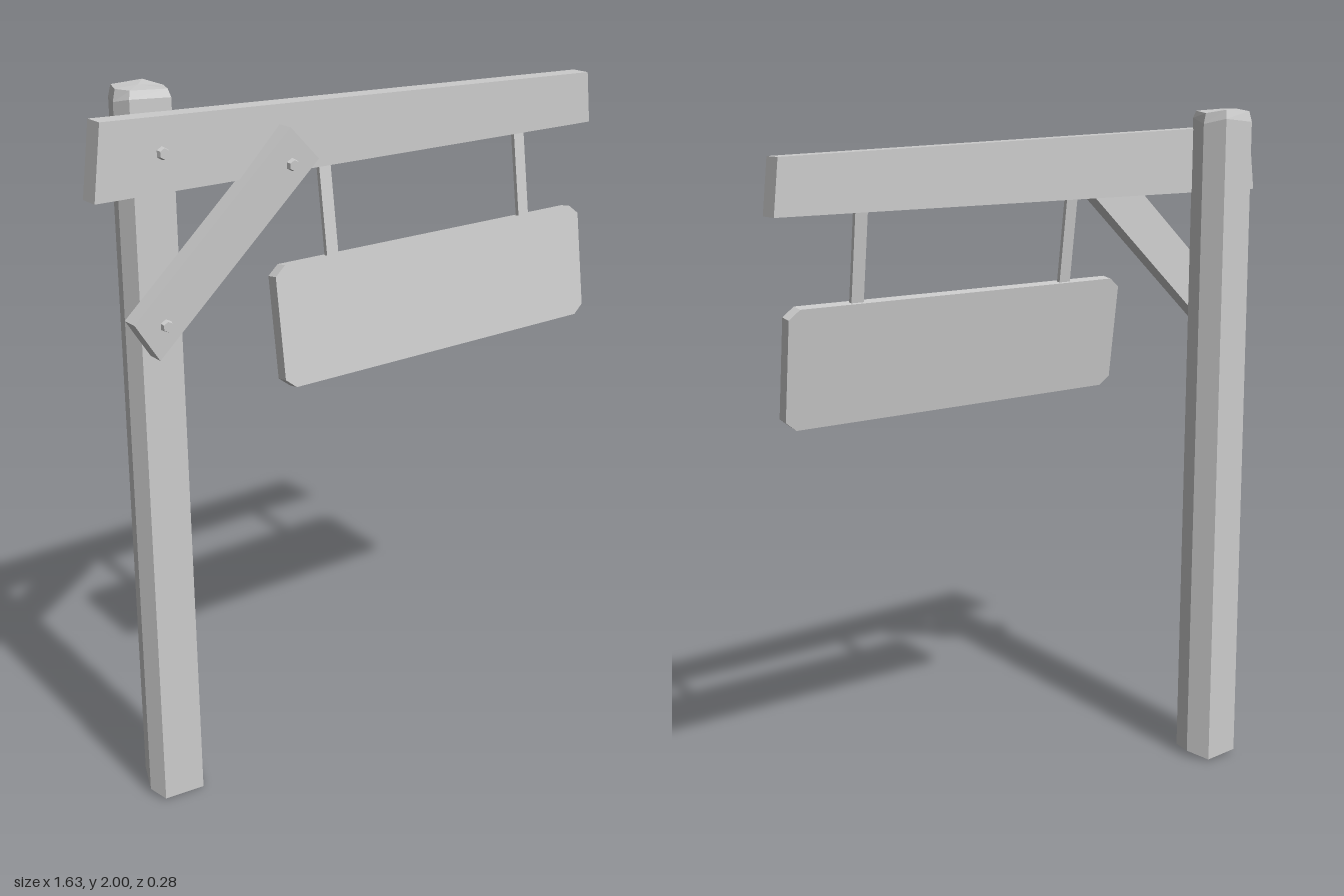
import * as THREE from 'three';

const material = new THREE.MeshStandardMaterial({ color: 0xcccccc, flatShading: true });

function addMesh(parent, name, geometry) {
  const mesh = new THREE.Mesh(geometry, material);
  mesh.name = name;
  parent.add(mesh);
  return mesh;
}

// Flat board cut from an outline in x and y
function board(points, depth) {
  const shape = new THREE.Shape(points.map(([x, y]) => new THREE.Vector2(x, y)));
  return new THREE.ExtrudeGeometry(shape, { depth, bevelEnabled: false });
}

// Rough-hewn post lofted through rings of six corners, closed by fans
function postGeometry() {
  const section = [[-0.52, -0.07], [-0.552, -0.136], [-0.655, -0.142],
    [-0.70, -0.035], [-0.68, 0.015], [-0.56, 0.022]];
  const cx = -0.61, cz = -0.06;
  const ring = (scale, heights) => section.map(([x, z], i) =>
    [cx + (x - cx) * scale, heights[i], cz + (z - cz) * scale]);
  const rings = [
    ring(1, [0.02, 0.005, 0.015, 0.018, 0.005, 0]),
    ring(0.93, [1.96, 1.975, 1.965, 1.97, 1.98, 1.975]),
    ring(0.84, [1.99, 2, 1.995, 2, 2, 1.995]),
  ];
  const low = [cx, 0.025, cz], high = [cx, 2, cz];
  const v = [];
  for (let i = 0; i < 6; i++) {
    const j = (i + 1) % 6;
    for (let k = 0; k < 2; k++) {
      const a = rings[k], b = rings[k + 1];
      v.push(...a[i], ...a[j], ...b[j], ...a[i], ...b[j], ...b[i]);
    }
    v.push(...high, ...rings[2][i], ...rings[2][j]);
    v.push(...low, ...rings[0][j], ...rings[0][i]);
  }
  const g = new THREE.BufferGeometry();
  g.setAttribute('position', new THREE.Float32BufferAttribute(v, 3));
  g.computeVertexNormals();
  return g;
}

export function createModel() {
  const model = new THREE.Group();
  model.name = 'hangingSignpost';

  addMesh(model, 'post', postGeometry());

  // Tapered crossbeam in front of the post
  const beam = addMesh(model, 'crossbeam',
    board([[-0.815, 1.76], [0.812, 1.76], [0.795, 1.905], [-0.79, 1.95]], 0.057));
  beam.position.z = 0.013;

  // Diagonal brace, leaning from the post out over the front of the beam
  const braceShift = (x, y) => 0.02 + 0.05 * (x + 0.692 + y - 1.39) / 0.9;
  const brace = board([[-0.727, 1.443], [-0.658, 1.336], [-0.2, 1.795], [-0.286, 1.885]], 0.048);
  const p = brace.attributes.position;
  for (let i = 0; i < p.count; i++) p.setZ(i, p.getZ(i) + braceShift(p.getX(i), p.getY(i)));
  brace.computeVertexNormals();
  addMesh(model, 'brace', brace);

  // Hexagonal bolts square to the boards they hold
  const up = new THREE.Vector3(0, 1, 0);
  const bolts = [
    [-0.627, 1.857, 0.07, 0],
    [-0.28, 1.79, braceShift(-0.28, 1.79) + 0.048, 0.055],
    [-0.64, 1.427, braceShift(-0.64, 1.427) + 0.048, 0.055],
  ];
  for (const [x, y, z, slope] of bolts) {
    const bolt = addMesh(model, 'bolt', new THREE.CylinderGeometry(0.014, 0.02, 0.024, 6));
    bolt.position.set(x, y, z);
    bolt.quaternion.setFromUnitVectors(up, new THREE.Vector3(-slope, -slope, 1).normalize());
  }

  // Sign board and its hangers swing together, the bottom edge forward
  const swing = new THREE.Group();
  swing.name = 'swingingSign';
  swing.position.set(0.214, 1.76, 0.046);
  swing.rotation.x = -0.14;
  model.add(swing);

  const w = 0.541, top = -0.238, bottom = -0.563, c = 0.032;
  const sign = addMesh(swing, 'signBoard', board([
    [-w + c, bottom], [w - c, bottom], [w, bottom + c * 0.8], [w, top - c * 0.8],
    [w - c, top], [-w + c, top], [-w, top - c * 0.8], [-w, bottom + c * 0.8],
  ], 0.034));
  sign.position.z = -0.017;

  for (const x of [-0.348, 0.335]) {
    const hanger = addMesh(swing, 'hanger', new THREE.BoxGeometry(0.037, 0.27, 0.012));
    hanger.position.set(x, -0.12, 0);
  }
  return model;
}
